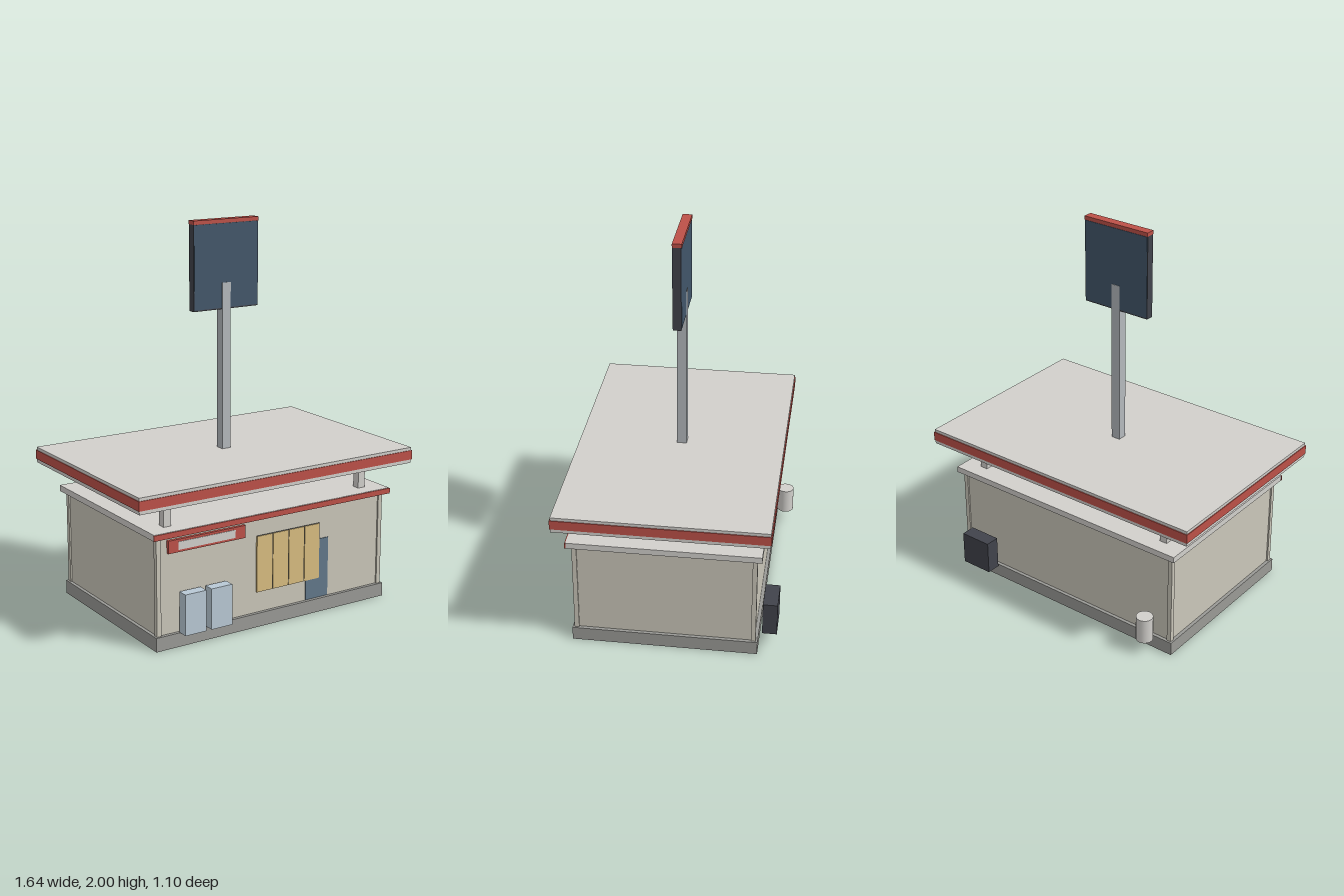
import * as THREE from 'three';

const mat = (color) => new THREE.MeshStandardMaterial({ color });

export function createModel() {
  const model = new THREE.Group();
  const concrete = mat(0x9a9a96), wall = mat(0xcbc7ba), roofGrey = mat(0xd2d0cc);
  const red = mat(0xbd5148), steel = mat(0xb4b9bd), dark = mat(0x41434b);
  const blue = mat(0x42566a), cooler = mat(0xb9c9d5), glass = mat(0xd9bd80), doorBlue = mat(0x62788a);
  const midZ = 0.014; // centre line of the building

  // Box given by its limits on each axis
  const box = (name, material, x0, x1, y0, y1, z0, z1) => {
    const mesh = new THREE.Mesh(new THREE.BoxGeometry(x1 - x0, y1 - y0, z1 - z0), material);
    mesh.position.set((x0 + x1) / 2, (y0 + y1) / 2, (z0 + z1) / 2);
    mesh.name = name;
    model.add(mesh);
    return mesh;
  };
  // Box centred on the building axis, given by half extents
  const slab = (name, material, hx, y0, y1, hz) =>
    box(name, material, -hx, hx, y0, y1, midZ - hz, midZ + hz);

  // Building shell
  slab('plinth', concrete, 0.695, 0, 0.072, 0.474);
  slab('walls', wall, 0.677, 0.072, 0.568, 0.456);
  slab('lowerRoof', roofGrey, 0.71, 0.568, 0.6, 0.488);
  box('roofFrontTrim', red, -0.713, 0.713, 0.57, 0.598, 0.5, 0.507);

  // Corner trims and canopy posts
  for (const sx of [-1, 1]) {
    for (const sz of [-1, 1]) {
      const cx = sx * 0.673, cz = midZ + sz * 0.452;
      box('cornerTrim', wall, cx - 0.012, cx + 0.012, 0.072, 0.568, cz - 0.012, cz + 0.012);
      const px = sx * 0.59, pz = midZ + sz * 0.388;
      box('canopyPost', roofGrey, px - 0.021, px + 0.021, 0.6, 0.73, pz - 0.021, pz + 0.021);
    }
  }

  // Canopy with a band around its edge and lights underneath
  slab('canopy', roofGrey, 0.814, 0.73, 0.813, 0.534);
  slab('canopyBand', red, 0.818, 0.749, 0.797, 0.538);
  for (const x of [-0.51, -0.21, 0.18, 0.51]) {
    for (const z of [-0.31, 0.31]) {
      box('canopyLight', roofGrey, x - 0.07, x + 0.07, 0.724, 0.732, z - 0.023, z + 0.023);
    }
  }

  // Pole and tall sign
  slab('signPole', steel, 0.025, 0, 1.68, 0.025);
  slab('signFrame', dark, 0.193, 1.545, 1.98, 0.021);
  slab('signPanels', blue, 0.19, 1.552, 1.978, 0.023);
  slab('signCap', red, 0.193, 1.98, 2, 0.024);

  // Fascia sign on the front wall
  box('fasciaSign', red, -0.622, -0.18, 0.485, 0.55, 0.465, 0.486);
  box('fasciaPanel', roofGrey, -0.567, -0.24, 0.497, 0.538, 0.48, 0.489);

  // Cooler cabinets
  for (const x of [-0.506, -0.357]) {
    box('coolerCabinet', cooler, x - 0.06, x + 0.06, 0.075, 0.286, 0.49, 0.546);
  }

  // Shop window panes on a dark backing, door beside them
  box('windowBacking', dark, -0.103, 0.283, 0.18, 0.476, 0.465, 0.475);
  for (let i = 0; i < 4; i++) {
    const x = -0.105 + i * 0.0975;
    box('windowPane', glass, x, x + 0.0925, 0.181, 0.475, 0.468, 0.479);
  }
  box('door', doorBlue, 0.2, 0.34, 0.074, 0.39, 0.465, 0.474);

  // Equipment behind the building
  box('airConditioner', dark, 0.442, 0.618, 0.075, 0.253, -0.552, -0.477);
  const tank = new THREE.Mesh(new THREE.CylinderGeometry(0.044, 0.044, 0.135, 20), roofGrey);
  tank.position.set(-0.565, 0.1425, -0.508);
  tank.name = 'gasTank';
  model.add(tank);

  return model;
}
